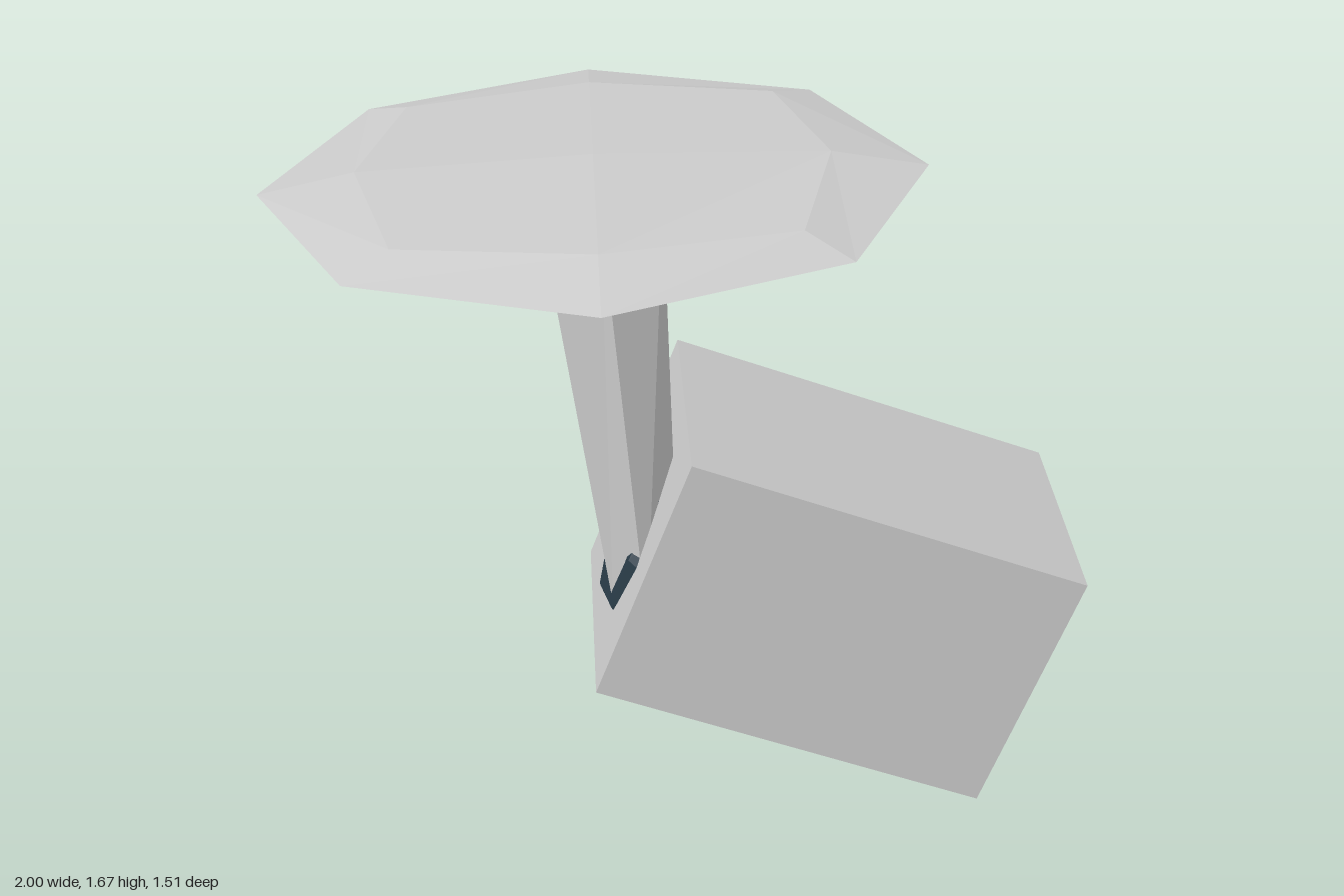
import * as THREE from 'three';

const mat = (color) => new THREE.MeshStandardMaterial({ color, flatShading: true });

function addPart(parent, name, geometry, material) {
  const flat = geometry.index ? geometry.toNonIndexed() : geometry;
  flat.computeVertexNormals();
  const mesh = new THREE.Mesh(flat, material);
  mesh.name = name;
  parent.add(mesh);
  return mesh;
}

// Coarse ball: a 2x2x2 box pushed onto a sphere, then squashed
function cubeBall(rx, ry, rz) {
  const geo = new THREE.BoxGeometry(1, 1, 1, 2, 2, 2);
  const pos = geo.attributes.position;
  const v = new THREE.Vector3();
  for (let i = 0; i < pos.count; i++) {
    v.fromBufferAttribute(pos, i).normalize();
    pos.setXYZ(i, v.x * rx, v.y * ry, v.z * rz);
  }
  return geo;
}

export function createModel() {
  const model = new THREE.Group();
  model.name = 'securityCamera';
  const grey = mat(0xcccccc);
  const slate = mat(0x2a3c48);
  const navy = mat(0x0d172a);

  // Ceiling plate, slightly tilted
  const plate = addPart(model, 'mountPlate', cubeBall(0.8, 0.066, 0.757), grey);
  plate.position.set(-0.2, 1.613, 0);
  plate.rotation.z = 0.028;

  // Six-sided arm, leaning and narrowing in x towards the camera
  const top = 1.6, bottom = 0.5;
  const armGeo = new THREE.CylinderGeometry(0.175, 0.175, top - bottom, 6);
  const pos = armGeo.attributes.position;
  for (let i = 0; i < pos.count; i++) {
    const t = pos.getY(i) > 0 ? 0 : 1;
    const halfWidth = THREE.MathUtils.lerp(0.149, 0.084, t);
    pos.setXYZ(
      i,
      THREE.MathUtils.lerp(-0.189, -0.088, t) + (pos.getX(i) / 0.1516) * halfWidth,
      t ? bottom : top,
      pos.getZ(i) + THREE.MathUtils.lerp(0.01, 0.032, t)
    );
  }
  addPart(model, 'arm', armGeo, grey);

  // Tilted camera head; its local +x is the viewing direction
  const head = new THREE.Group();
  head.name = 'cameraHead';
  head.position.set(0.3875, 0.5075, -0.0125);
  head.rotation.z = -0.356;
  model.add(head);

  // Square housing whose walls bevel inwards around the lens
  const length = 1.046, half = 0.342, inner = 0.287, depth = 0.057;
  const profile = [
    [0, -length / 2], [half, -length / 2], [half, length / 2], [inner, length / 2 - depth],
  ].map(([r, y]) => new THREE.Vector2(r * Math.SQRT2, y));
  const housing = new THREE.LatheGeometry(profile, 4, Math.PI / 4);
  housing.rotateZ(-Math.PI / 2);
  addPart(head, 'housing', housing, grey);

  // Dark panel at the bottom of the recess
  const panel = new THREE.PlaneGeometry(inner * 2, inner * 2);
  panel.rotateY(Math.PI / 2);
  addPart(head, 'lensPanel', panel, slate).position.x = length / 2 - depth;

  // Domed lens in front, matching swivel joint behind
  const lens = addPart(head, 'lens', cubeBall(0.1, 0.284, 0.284), navy);
  lens.position.x = length / 2 - 0.05;
  const joint = addPart(head, 'swivelJoint', cubeBall(0.1, 0.284, 0.284), slate);
  joint.position.set(-length / 2 + 0.05, -0.032, 0);

  return model;
}
